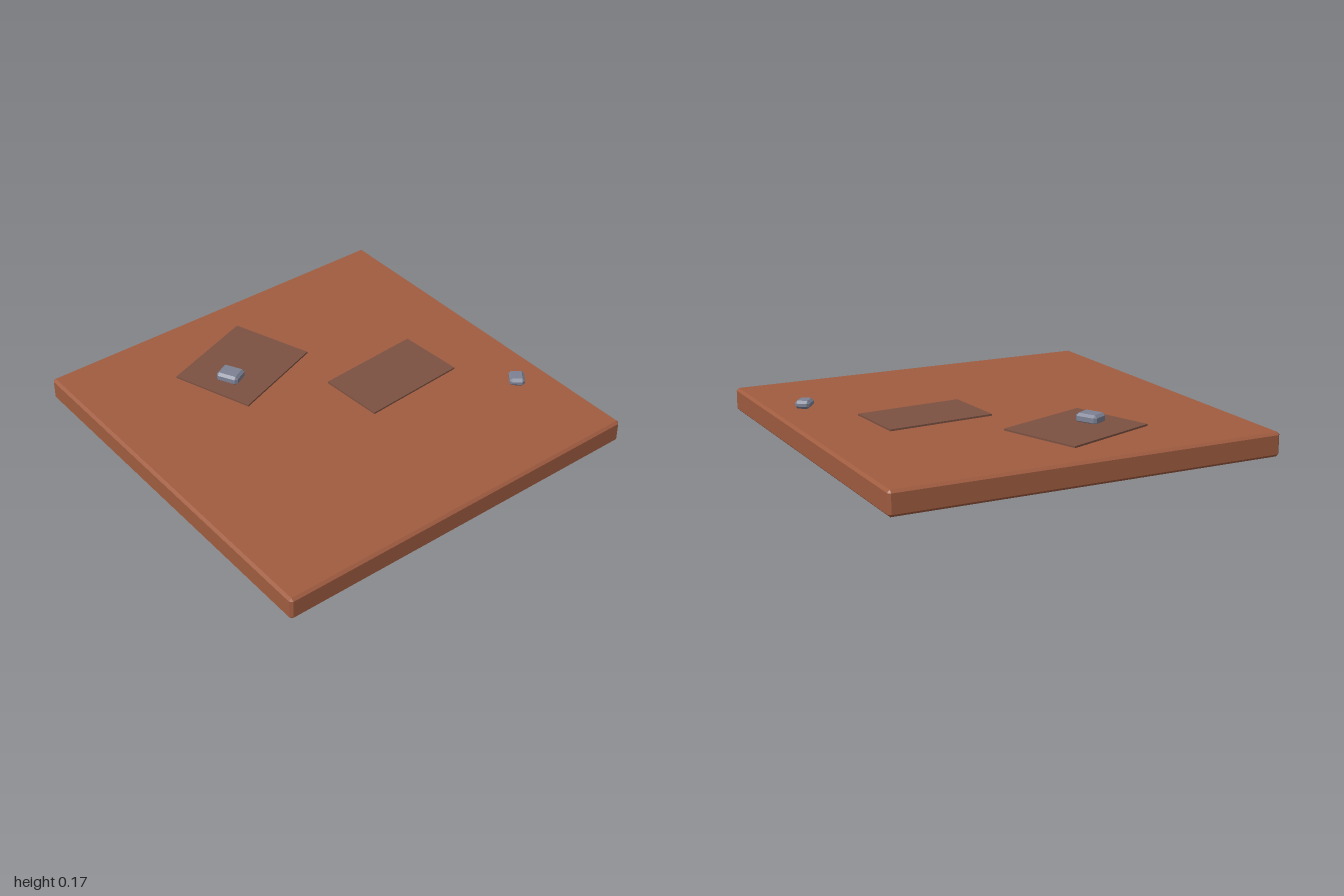
import * as THREE from 'three';
import { ConvexGeometry } from 'three/addons/geometries/ConvexGeometry.js';

// Box with every edge cut by a flat chamfer c
function chamferedBox(w, h, d, c) {
  const points = [];
  for (const sx of [-1, 1]) for (const sy of [-1, 1]) for (const sz of [-1, 1]) {
    for (let full = 0; full < 3; full++) {
      points.push(new THREE.Vector3(
        sx * (w / 2 - (full === 0 ? 0 : c)),
        sy * (h / 2 - (full === 1 ? 0 : c)),
        sz * (d / 2 - (full === 2 ? 0 : c))
      ));
    }
  }
  return new ConvexGeometry(points);
}

function material(name, color) {
  const m = new THREE.MeshStandardMaterial({ color });
  m.name = name;
  return m;
}

export function createModel() {
  const model = new THREE.Group();
  model.name = 'groundTile';
  const clay = material('clay', 0xa05c40);
  const darkClay = material('darkClay', 0x7c5142);
  const slate = material('slate', 0x7c8193);
  const top = 0.12;

  function add(name, geometry, mat, x, y, z, turn = 0) {
    const mesh = new THREE.Mesh(geometry, mat);
    mesh.name = name;
    mesh.position.set(x, y, z);
    mesh.rotation.y = turn;
    model.add(mesh);
  }

  // Square slab of ground
  add('slab', chamferedBox(2, top, 2, 0.013), clay, 0, top / 2, 0);

  // Thin dark patches lying on the slab: x, z, width, depth, turn
  [
    [-0.181, -0.501, 0.53, 0.44, 0.342],
    [0.358, 0.034, 0.556, 0.34, 0.07],
  ].forEach(([x, z, w, d, turn], i) =>
    add('patch' + (i + 1), new THREE.BoxGeometry(w, 0.009, d), darkClay, x, top + 0.0045, z, turn));

  // Small chamfered stones: x, z, width, height, depth, turn
  [
    [-0.293, -0.445, 0.098, 0.05, 0.118, 0.48],
    [0.823, 0.455, 0.092, 0.041, 0.077, 0.89],
  ].forEach(([x, z, w, h, d, turn], i) =>
    add('stone' + (i + 1), chamferedBox(w, h, d, 0.013), slate, x, top + h / 2, z, turn));

  return model;
}
